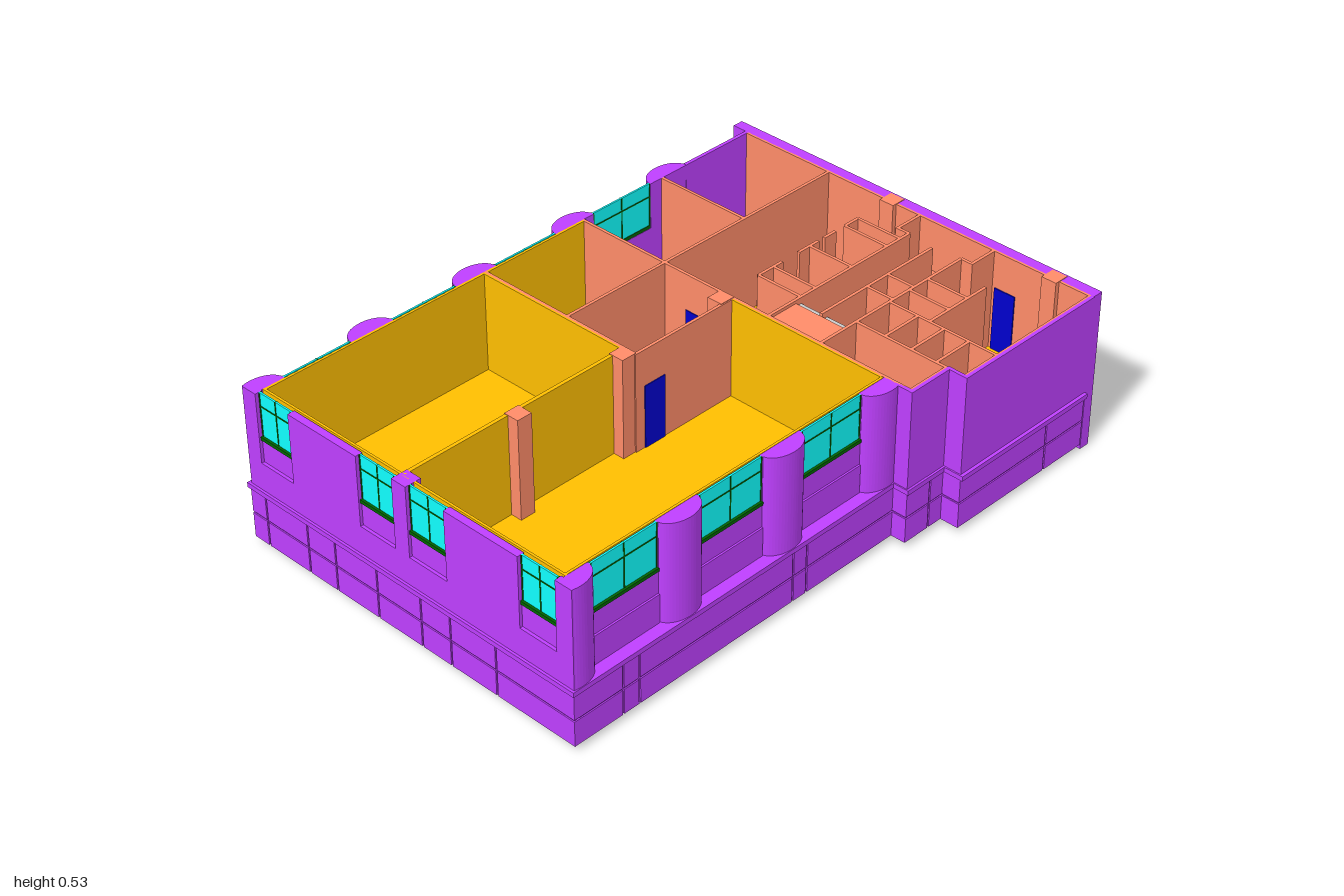
import * as THREE from 'three';

const mat = (color) => new THREE.MeshStandardMaterial({ color });
const PURPLE = mat(0xbf40ff), YELLOW = mat(0xffbf00), SALMON = mat(0xff8c69), CYAN = mat(0x10ffff);
const GREEN = mat(0x006400), BLUE = mat(0x0000cd), GREY = mat(0xcccccc);
const TOP = 0.53, FLOOR = 0.2;

// Box given by its limits on each axis
function box(parent, name, m, x0, x1, y0, y1, z0, z1) {
  const mesh = new THREE.Mesh(new THREE.BoxGeometry(x1 - x0, y1 - y0, z1 - z0), m);
  mesh.position.set((x0 + x1) / 2, (y0 + y1) / 2, (z0 + z1) / 2);
  mesh.name = name;
  parent.add(mesh);
}

// Upright prism from plan points [x, z], with an optional hole
function prism(parent, name, m, pts, y0, y1, hole) {
  const plan = (p) => p.map(([x, z]) => new THREE.Vector2(x, -z));
  const shape = new THREE.Shape(plan(pts));
  if (hole) shape.holes.push(new THREE.Path(plan(hole)));
  const geo = new THREE.ExtrudeGeometry(shape, { depth: y1 - y0, bevelEnabled: false });
  geo.rotateX(-Math.PI / 2).translate(0, y0, 0);
  const mesh = new THREE.Mesh(geo, m);
  mesh.name = name;
  parent.add(mesh);
}

// Wall running along x or z, centred on the line at c
function wall(parent, name, m, axis, c, a, b, t = 0.01, y0 = FLOOR, y1 = TOP) {
  if (axis === 'x') box(parent, name, m, a, b, y0, y1, c - t / 2, c + t / 2);
  else box(parent, name, m, c - t / 2, c + t / 2, y0, y1, a, b);
}

// Base wall of two block courses with narrow joints over a recessed backing
function baseRun(parent, axis, c, stops) {
  const n = stops.length - 1, gap = 0.003;
  wall(parent, 'baseBacking', PURPLE, axis, c, stops[0] + 0.004, stops[n] - 0.004, 0.008, 0.02, 0.19);
  for (let i = 0; i < n; i++) {
    const a = stops[i] + (i ? gap : 0), b = stops[i + 1] - (i < n - 1 ? gap : 0);
    wall(parent, 'baseBlock', PURPLE, axis, c, a, b, 0.016, 0.02, 0.102);
    wall(parent, 'baseBlock', PURPLE, axis, c, a, b, 0.016, 0.108, 0.192);
  }
}

// Window with sill, glazing bars and the panel below; out is the outward sign
function windowBay(parent, axis, c, out, a, b) {
  const g = new THREE.Group();
  g.name = 'windowBay';
  const mid = (a + b) / 2;
  wall(g, 'panel', PURPLE, axis, c, a, b, 0.012, FLOOR, 0.375);
  wall(g, 'lowerPanel', PURPLE, axis, c + out * 0.006, a, b, 0.012, FLOOR, 0.3);
  wall(g, 'sill', GREEN, axis, c + out * 0.003, a, b, 0.016, 0.375, 0.386);
  wall(g, 'glass', CYAN, axis, c, a, b, 0.006, 0.386, TOP);
  wall(g, 'transom', GREEN, axis, c, a, b, 0.009, 0.483, 0.487);
  for (const p of [a + 0.002, mid, b - 0.002])
    wall(g, 'mullion', GREEN, axis, c, p - 0.002, p + 0.002, 0.009, 0.386, TOP);
  parent.add(g);
}

// Bowed pilaster, clipped to the plan limits along z
function pilaster(parent, x, z, out, zMin, zMax) {
  const pts = [];
  for (let i = 0; i <= 24; i++) {
    const t = -Math.PI / 2 + (i / 24) * Math.PI;
    const pz = Math.min(zMax, Math.max(zMin, z + Math.sin(t) * 0.076));
    pts.push([x + out * Math.cos(t) * 0.05, pz]);
  }
  if (zMax < z + 0.076) pts.push([x, zMax]);
  prism(parent, 'pilaster', PURPLE, pts, FLOOR, TOP);
}

// Straight flight rising from z0 to z1
function stair(parent, x0, x1, z0, z1, yTop, n = 9) {
  const d = (z1 - z0) / n;
  for (let i = 0; i < n; i++) {
    const a = z0 + i * d, b = a + d, y = FLOOR + ((yTop - FLOOR) * (i + 1)) / n;
    box(parent, 'step', GREY, x0, x1, Math.max(FLOOR, y - 0.06), y, Math.min(a, b), Math.max(a, b));
  }
}

export function createModel() {
  const model = new THREE.Group();
  const add = (name) => {
    const g = new THREE.Group();
    g.name = name;
    model.add(g);
    return g;
  };

  // Floor slab and the ledge around it
  const floorPlan = [[-0.645, -0.96], [0.68, -0.96], [0.68, -0.405], [0.618, -0.405], [0.618, -0.25],
    [0.53, -0.25], [0.53, 0.955], [-0.645, 0.955]];
  const ledgePlan = [[-0.705, -0.998], [0.69, -0.998], [0.69, -0.957], [0.703, -0.957], [0.703, -0.395],
    [0.637, -0.395], [0.637, -0.24], [0.585, -0.24], [0.585, 0.998], [-0.705, 0.998]];
  prism(model, 'floor', YELLOW, floorPlan, 0.188, FLOOR);
  prism(model, 'ledge', PURPLE, ledgePlan, 0.19, 0.206, floorPlan);

  // Base walls
  const base = add('base');
  baseRun(base, 'x', 0.984, [-0.698, -0.635, -0.46, -0.345, -0.175, 0, 0.115, 0.29, 0.58]);
  baseRun(base, 'z', -0.69, [-0.96, -0.785, -0.65, -0.59, -0.25, -0.19, 0.11, 0.165, 0.53, 0.59, 0.755, 0.815, 0.976]);
  baseRun(base, 'z', 0.572, [-0.245, 0.11, 0.165, 0.755, 0.815, 0.976]);
  baseRun(base, 'x', -0.253, [0.564, 0.63]);
  baseRun(base, 'z', 0.622, [-0.4, -0.345, -0.261]);
  baseRun(base, 'x', -0.408, [0.614, 0.692]);
  baseRun(base, 'z', 0.684, [-0.957, -0.785, -0.416]);

  // Back wall and the right wing
  const shell = add('outerWalls');
  box(shell, 'backWall', PURPLE, -0.645, 0.69, 0, TOP, -1, -0.963);
  box(shell, 'backWallEnd', PURPLE, -0.705, -0.645, 0.02, TOP, -1, -0.963);
  wall(shell, 'wingWall', PURPLE, 'z', 0.686, -0.963, -0.4, 0.012);
  wall(shell, 'wingReturn', PURPLE, 'x', -0.406, 0.618, 0.692, 0.012);
  wall(shell, 'wingWall', PURPLE, 'z', 0.624, -0.4, -0.25, 0.012);
  wall(shell, 'wingReturn', PURPLE, 'x', -0.25, 0.528, 0.63, 0.012);
  wall(shell, 'leftBackWall', PURPLE, 'z', -0.65, -0.963, -0.69, 0.012);

  // Side walls: pilasters alternating with windows
  const step = 0.393;
  for (const [out, x, count] of [[-1, -0.65, 5], [1, 0.533, 4]]) {
    for (let i = 0; i < count; i++) {
      const z = 0.96 - i * step;
      const zMin = out > 0 ? -0.25 : -2;
      pilaster(shell, x, z, out, zMin, 0.988);
      wall(shell, 'pier', PURPLE, 'z', x, Math.max(zMin, z - 0.077), Math.min(0.985, z + 0.077), 0.012);
      if (i < count - 1) windowBay(shell, 'z', x, out, z - step + 0.077, z - 0.077);
    }
  }

  // Front wall: solid piers between four windows
  const fronts = [[-0.64, -0.505], [-0.23, -0.09], [-0.035, 0.11], [0.385, 0.52]];
  let edge = -0.695;
  for (const [a, b] of [...fronts, [0.58, 0.58]]) {
    box(shell, 'frontPier', PURPLE, edge, a, FLOOR, TOP, 0.966, 0.99);
    if (b > a) {
      windowBay(shell, 'x', 0.974, 1, a, b);
      box(shell, 'frontApron', PURPLE, a, b, FLOOR, 0.3, 0.966, 0.99);
    }
    edge = b;
  }
  box(shell, 'frontColumn', PURPLE, -0.09, -0.035, FLOOR, TOP, 0.935, 0.985);

  // Inner linings
  const lining = add('linings');
  wall(lining, 'frontLining', YELLOW, 'x', 0.956, -0.645, 0.527, 0.008);
  wall(lining, 'rightLining', YELLOW, 'z', 0.522, -0.245, 0.955, 0.008);
  wall(lining, 'leftLining', YELLOW, 'z', -0.64, -0.25, 0.955, 0.008);
  wall(lining, 'roomBackLining', YELLOW, 'x', -0.245, -0.035, 0.52, 0.006);
  wall(lining, 'backLining', SALMON, 'x', -0.96, -0.645, 0.68, 0.008);
  wall(lining, 'wingLining', SALMON, 'z', 0.677, -0.96, -0.41, 0.006);
  wall(lining, 'wingLining', SALMON, 'z', 0.615, -0.4, -0.255, 0.006);

  // Partitions: axis, line, start, end
  const rooms = add('partitions');
  const lines = [
    ['z', -0.31, -0.96, 0.145], ['x', -0.587, -0.645, -0.31], ['x', -0.253, -0.645, 0.62],
    ['x', 0.14, -0.645, -0.04], ['z', -0.04, -0.25, 0.145],
    ['z', 0.093, -0.86, -0.253], ['z', 0.29, -0.86, -0.253], ['z', 0.192, -0.845, -0.365],
    ['x', -0.86, 0.05, 0.093], ['x', -0.86, 0.29, 0.33], ['z', 0.05, -0.96, -0.855], ['z', 0.33, -0.96, -0.855],
    ['z', -0.07, -0.82, -0.765], ['z', -0.07, -0.72, -0.67], ['z', -0.07, -0.645, -0.56], ['z', -0.07, -0.49, -0.39],
    ['z', 0.437, -0.79, -0.545], ['x', -0.71, 0.29, 0.437], ['x', -0.63, 0.29, 0.437],
    ['x', -0.545, 0.29, 0.68], ['x', -0.403, 0.29, 0.62], ['x', -0.65, 0.192, 0.29], ['x', -0.56, 0.192, 0.29],
    ...[-0.82, -0.762, -0.608, -0.453, -0.39].map((z) => ['x', z, -0.07, 0.093]),
    ...[0.395, 0.49, 0.58].map((x) => ['z', x, -0.545, -0.403]),
  ];
  for (const l of lines) wall(rooms, 'partition', SALMON, ...l);
  wall(rooms, 'hallPartition', YELLOW, 'z', -0.083, 0.145, 0.952, 0.012);
  wall(rooms, 'hallPartition', YELLOW, 'x', 0.148, -0.645, -0.083, 0.006);

  // Columns
  for (const [x, z] of [[-0.065, -0.967], [0.545, -0.967], [-0.065, -0.228], [-0.065, 0.165], [-0.065, 0.56]])
    box(rooms, 'column', SALMON, x - 0.026, x + 0.026, FLOOR, TOP + 0.002, z - 0.026, z + 0.026);

  // Doors
  wall(rooms, 'door', BLUE, 'z', -0.04, 0.03, 0.11, 0.016, FLOOR, 0.41);
  wall(rooms, 'door', BLUE, 'x', -0.253, -0.22, -0.13, 0.016, FLOOR, 0.41);
  wall(rooms, 'door', BLUE, 'x', -0.957, 0.345, 0.42, 0.01, FLOOR, 0.41);

  // Stairs and landings
  const stairs = add('stairs');
  for (const [a, b] of [[0.098, 0.187], [0.197, 0.285]]) {
    stair(stairs, a, b, -0.56, -0.365, 0.51);
    stair(stairs, a, b, -0.655, -0.845, 0.36);
  }
  box(stairs, 'upperLanding', SALMON, 0.093, 0.29, 0.5, 0.52, -0.365, -0.253);
  box(stairs, 'middleLanding', SALMON, 0.05, 0.33, 0.345, 0.365, -0.96, -0.845);

  return model;
}
